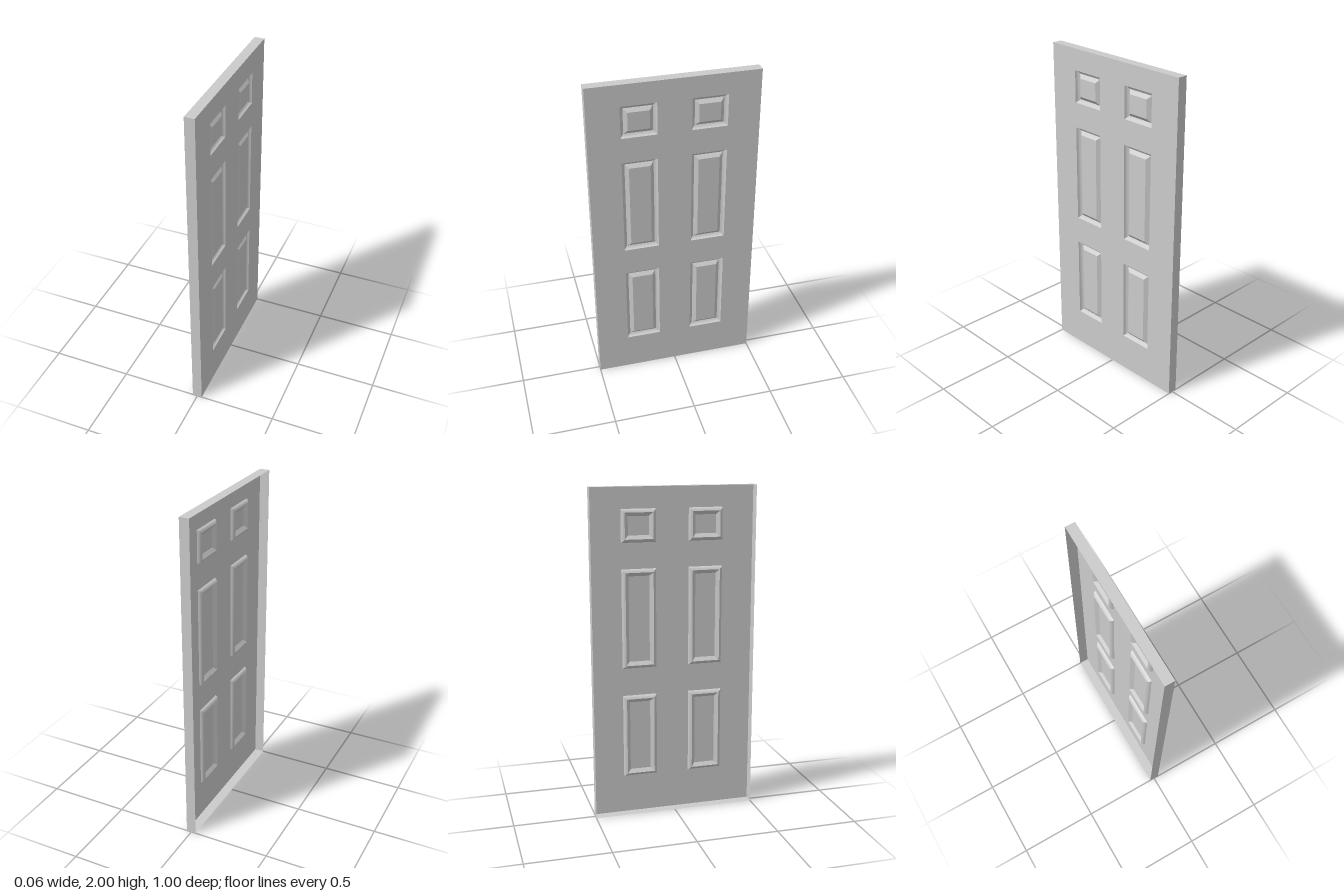
import * as THREE from 'three';
import { mergeGeometries } from 'three/addons/utils/BufferGeometryUtils.js';

const W = 1, H = 2, T = 0.06;
const material = new THREE.MeshStandardMaterial({ color: 0xcccccc, side: THREE.DoubleSide });

// Moulding profiles as [inset from the opening, depth below the face]
const COVE = [[0, 0], [0.004, 0.009], [0.01, 0.016], [0.02, 0.021]];
const BEVEL = [[0.02, 0.021], [0.042, 0.003]];

// Panel openings: two columns by three rows
const COLUMNS = [[-0.31, -0.1], [0.1, 0.31]];
const ROWS = [[0.235, 0.75], [0.92, 1.52], [1.675, 1.87]];

// Counter-clockwise corners of a rectangle after insetting
const corners = ([x0, x1], [y0, y1], d) => [
  [x0 + d, y0 + d], [x1 - d, y0 + d], [x1 - d, y1 - d], [x0 + d, y1 - d],
];

function named(geometry, name) {
  const mesh = new THREE.Mesh(geometry, material);
  mesh.name = name;
  return mesh;
}

// Four mitred strips following a profile round a rectangle
function moulding(col, row, profile) {
  const sides = [];
  for (let s = 0; s < 4; s++) {
    const positions = [], index = [];
    profile.forEach(([inset, depth], i) => {
      const c = corners(col, row, inset);
      positions.push(...c[s], T / 2 - depth, ...c[(s + 1) % 4], T / 2 - depth);
      if (i > 0) {
        const a = 2 * i - 2;
        index.push(a, a + 1, a + 3, a, a + 3, a + 2);
      }
    });
    const g = new THREE.BufferGeometry();
    g.setAttribute('position', new THREE.Float32BufferAttribute(positions, 3));
    g.setIndex(index);
    g.computeVertexNormals();
    sides.push(g);
  }
  return mergeGeometries(sides);
}

// Raised panel with its surrounding groove
function raisedPanel(col, row) {
  const panel = new THREE.Group();
  panel.name = 'raisedPanel';
  panel.add(named(moulding(col, row, COVE), 'panelCove'));
  panel.add(named(moulding(col, row, BEVEL), 'panelBevel'));
  const [inset, depth] = BEVEL[BEVEL.length - 1];
  const [a, , c] = corners(col, row, inset);
  const field = named(new THREE.PlaneGeometry(c[0] - a[0], c[1] - a[1]), 'panelField');
  field.position.set((a[0] + c[0]) / 2, (a[1] + c[1]) / 2, T / 2 - depth);
  panel.add(field);
  return panel;
}

export function createModel() {
  const door = new THREE.Group();
  door.name = 'door';

  // Face sheet with panel openings
  const toPoints = (list) => list.map(([x, y]) => new THREE.Vector2(x, y));
  const outline = new THREE.Shape(toPoints(corners([-W / 2, W / 2], [0, H], 0)));
  for (const col of COLUMNS) {
    for (const row of ROWS) {
      outline.holes.push(new THREE.Path(toPoints(corners(col, row, 0).reverse())));
      door.add(raisedPanel(col, row));
    }
  }
  const face = named(new THREE.ShapeGeometry(outline), 'doorFace');
  face.position.z = T / 2;
  door.add(face);

  // Thin edges; the rear is open
  for (const side of [-1, 1]) {
    const stile = named(new THREE.PlaneGeometry(T, H), 'sideEdge');
    stile.rotation.y = side * Math.PI / 2;
    stile.position.set(side * W / 2, H / 2, 0);
    const rail = named(new THREE.PlaneGeometry(W, T), side > 0 ? 'topEdge' : 'bottomEdge');
    rail.rotation.x = -side * Math.PI / 2;
    rail.position.y = side > 0 ? H : 0;
    door.add(stile, rail);
  }

  // Turn the panelled face towards +x
  door.rotation.y = Math.PI / 2;
  const model = new THREE.Group();
  model.name = 'panelDoor';
  model.add(door);
  return model;
}
